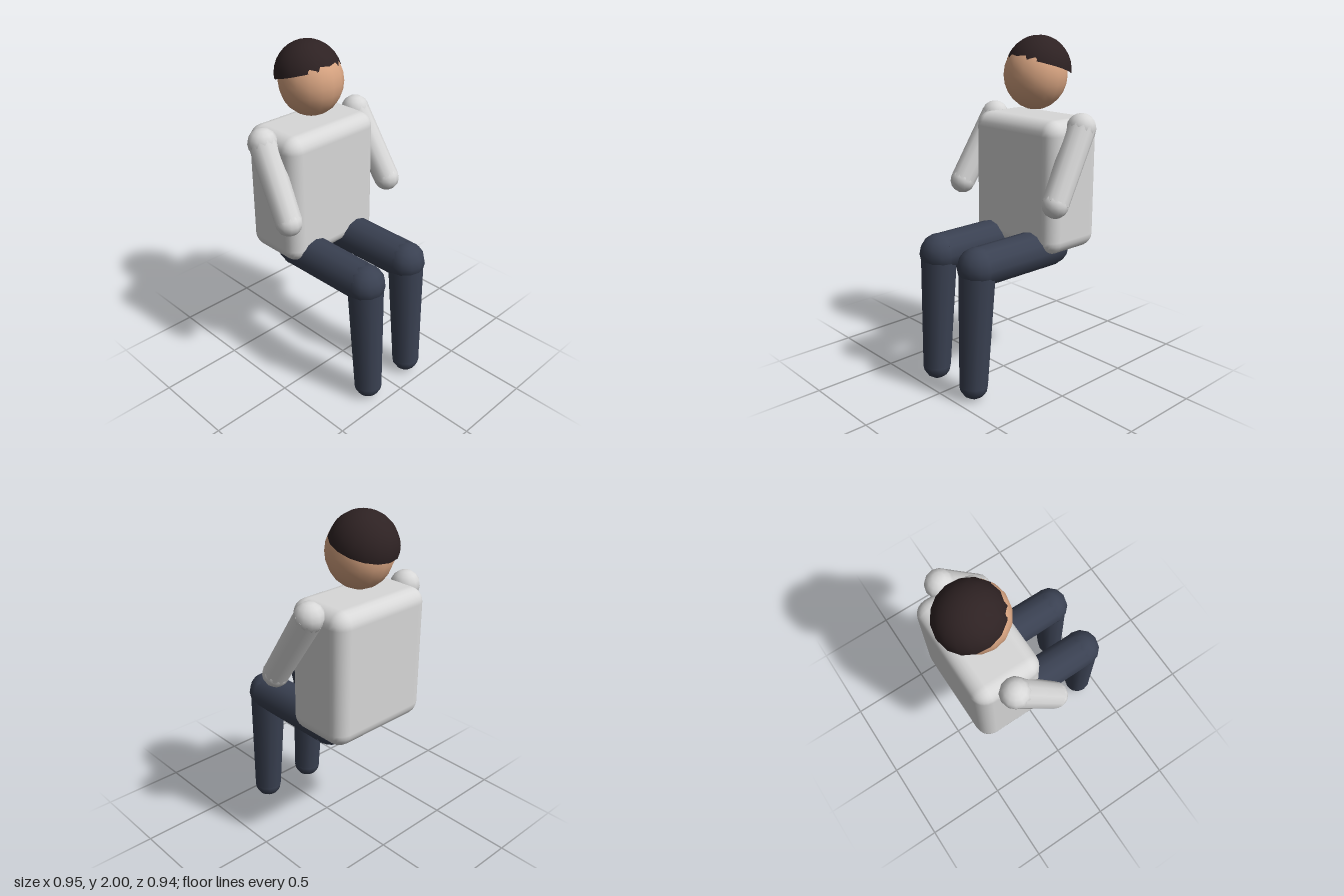
import * as THREE from 'three';
import { RoundedBoxGeometry } from 'three/addons/geometries/RoundedBoxGeometry.js';

const shirt = new THREE.MeshStandardMaterial({ color: 0xd8d8d8, name: 'shirt' });
const trousers = new THREE.MeshStandardMaterial({ color: 0x3a4152, name: 'trousers' });
const skin = new THREE.MeshStandardMaterial({ color: 0xd9a582, name: 'skin' });
const hairColor = new THREE.MeshStandardMaterial({ color: 0x2e2223, name: 'hair' });

function add(parent, name, geometry, material, x, y, z) {
  const mesh = new THREE.Mesh(geometry, material);
  mesh.name = name;
  mesh.position.set(x, y, z);
  parent.add(mesh);
  return mesh;
}

function ball(parent, name, material, p, r) {
  return add(parent, name, new THREE.SphereGeometry(r, 12, 8), material, p.x, p.y, p.z);
}

// Tapered tube from point a to point b
function limb(parent, name, material, a, b, ra, rb) {
  const dir = b.clone().sub(a);
  const mid = a.clone().add(b).multiplyScalar(0.5);
  const geometry = new THREE.CylinderGeometry(rb, ra, dir.length(), 12);
  const mesh = add(parent, name, geometry, material, mid.x, mid.y, mid.z);
  mesh.quaternion.setFromUnitVectors(new THREE.Vector3(0, 1, 0), dir.normalize());
}

export function createModel() {
  const model = new THREE.Group();
  model.name = 'seatedFigure';

  // Torso: soft-edged block
  add(model, 'torso', new RoundedBoxGeometry(0.67, 0.78, 0.405, 3, 0.085), shirt, 0, 1.16, -0.254);

  // Head and the hair cap tilted towards the back
  const head = add(model, 'head', new THREE.SphereGeometry(1, 16, 12), skin, 0, 1.775, -0.252);
  head.scale.set(0.185, 0.2, 0.187);
  const hair = add(model, 'hair',
    new THREE.SphereGeometry(0.195, 16, 8, 0, Math.PI * 2, 0, Math.PI * 0.475),
    hairColor, 0, 1.805, -0.275);
  hair.rotation.x = -0.3;
  hair.scale.x = 0.97;

  for (const [side, s] of [['left', 1], ['right', -1]]) {
    // Arm: shoulder, sleeve and hand
    const arm = new THREE.Group();
    arm.name = side + 'Arm';
    const shoulder = new THREE.Vector3(s * 0.36, 1.506, -0.257);
    const hand = new THREE.Vector3(s * 0.396, 1.115, -0.02);
    ball(arm, side + 'Shoulder', shirt, shoulder, 0.085);
    limb(arm, side + 'Sleeve', shirt, shoulder, hand, 0.083, 0.076);
    ball(arm, side + 'Hand', shirt, hand, 0.077);
    model.add(arm);

    // Leg: hip, thigh, knee, shin and foot
    const leg = new THREE.Group();
    leg.name = side + 'Leg';
    const hip = new THREE.Vector3(s * 0.17, 0.783, -0.215);
    const knee = new THREE.Vector3(s * 0.17, 0.783, 0.35);
    const foot = new THREE.Vector3(s * 0.17, 0.084, 0.385);
    ball(leg, side + 'Hip', trousers, hip, 0.115);
    limb(leg, side + 'Thigh', trousers, hip, knee, 0.117, 0.113);
    ball(leg, side + 'Knee', trousers, knee, 0.114);
    limb(leg, side + 'Shin', trousers, knee, foot, 0.106, 0.083);
    ball(leg, side + 'Foot', trousers, foot, 0.084);
    model.add(leg);
  }
  return model;
}
